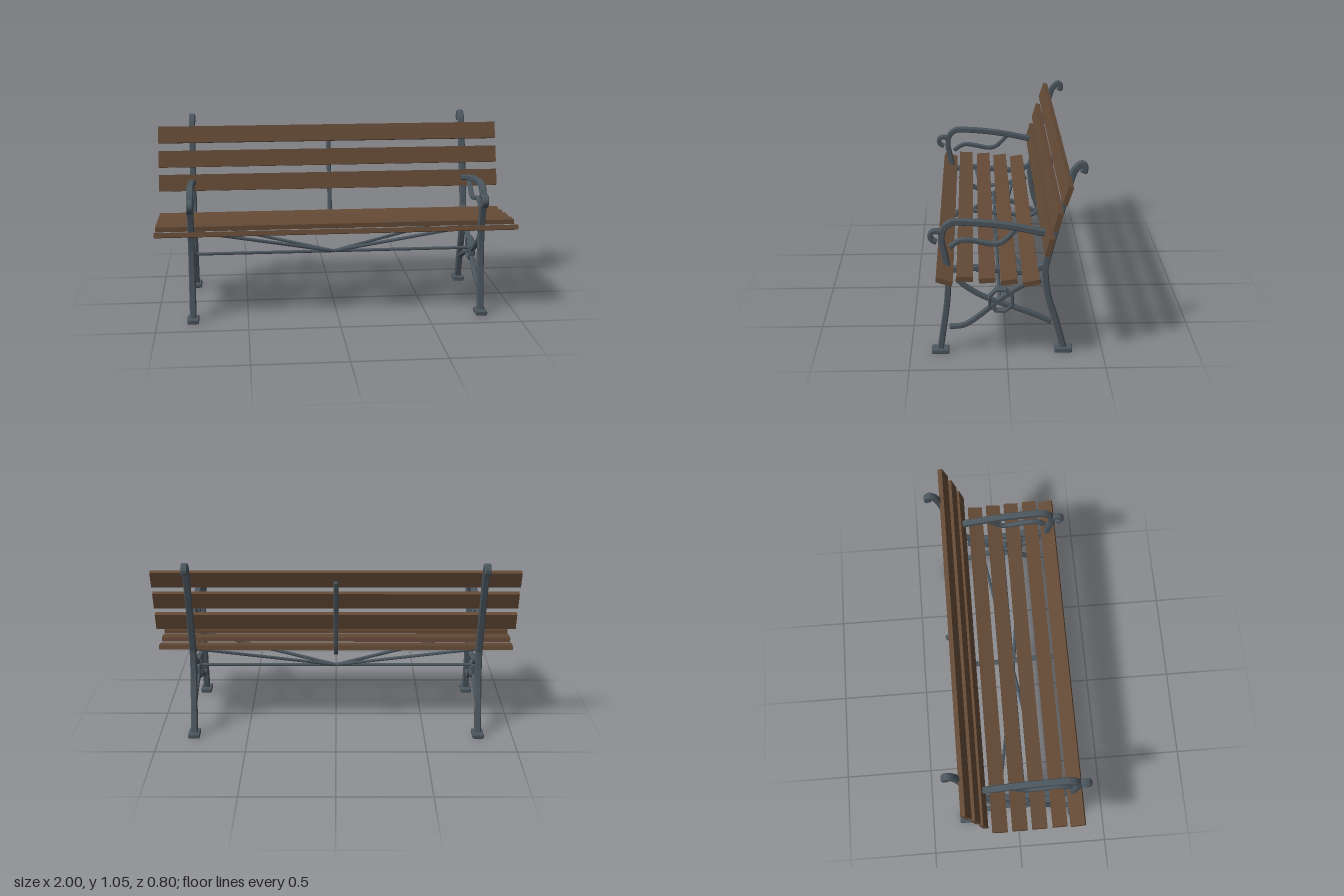
import * as THREE from 'three';
import { RoundedBoxGeometry } from 'three/addons/geometries/RoundedBoxGeometry.js';

const wood = new THREE.MeshStandardMaterial({ color: 0x644a36 });
wood.name = 'brown wood';
const iron = new THREE.MeshStandardMaterial({ color: 0x4b565e });
iron.name = 'grey iron';

function add(parent, name, geometry, material, x = 0, y = 0, z = 0) {
  const mesh = new THREE.Mesh(geometry, material);
  mesh.name = name;
  mesh.position.set(x, y, z);
  parent.add(mesh);
  return mesh;
}

// Extrudes a side outline (z, y) along x, centred on x = 0, with chamfered edges
function extrudeSide(shape, depth) {
  const b = 0.005;
  const g = new THREE.ExtrudeGeometry(shape, {
    depth: depth - 2 * b, bevelEnabled: true, bevelThickness: b,
    bevelSize: b, bevelOffset: -b, bevelSegments: 1,
  });
  g.translate(0, 0, -depth / 2 + b);
  return g.rotateY(-Math.PI / 2);
}

// Bar of even width following a smooth path of [z, y] points
function bar(path, width, depth) {
  const curve = new THREE.SplineCurve(path.map(([z, y]) => new THREE.Vector2(z, y)));
  const n = (path.length - 1) * 3;
  const one = [], two = [];
  for (let i = 0; i <= n; i++) {
    const p = curve.getPoint(i / n), t = curve.getTangent(i / n);
    const side = new THREE.Vector2(-t.y, t.x).multiplyScalar(width / 2);
    one.push(p.clone().add(side));
    two.unshift(p.clone().sub(side));
  }
  return extrudeSide(new THREE.Shape([...one, ...two]), depth);
}

// Straight round rod between two points
function rod(a, b, radius) {
  const dir = b.clone().sub(a);
  const g = new THREE.CylinderGeometry(radius, radius, dir.length(), 8);
  g.applyQuaternion(new THREE.Quaternion().setFromUnitVectors(
    new THREE.Vector3(0, 1, 0), dir.clone().normalize()));
  const mid = a.clone().add(b).multiplyScalar(0.5);
  return g.translate(mid.x, mid.y, mid.z);
}

function octagon(apothem) {
  const pts = [];
  for (let i = 0; i < 8; i++) {
    const a = (i + 0.5) * Math.PI / 4, r = apothem / Math.cos(Math.PI / 8);
    pts.push(new THREE.Vector2(0.03 + r * Math.cos(a), 0.295 + r * Math.sin(a)));
  }
  return pts;
}

// One cast iron end frame
function endFrame() {
  const frame = new THREE.Group();
  const bars = [
    ['frontLegAndArmrest', 0.032, 0.036, [[0.345, 0.02], [0.322, 0.175], [0.304, 0.314], [0.3, 0.45],
      [0.314, 0.55], [0.33, 0.63], [0.319, 0.69], [0.286, 0.723], [0.239, 0.73], [0.1, 0.72],
      [-0.04, 0.7], [-0.205, 0.664]]],
    ['armrestCurl', 0.024, 0.036, [[0.325, 0.668], [0.35, 0.681], [0.376, 0.677], [0.388, 0.657],
      [0.378, 0.635], [0.355, 0.622]]],
    ['backLegAndPost', 0.033, 0.036, [[-0.297, 0.02], [-0.256, 0.175], [-0.214, 0.314], [-0.197, 0.453],
      [-0.206, 0.52], [-0.247, 0.69], [-0.289, 0.84], [-0.323, 0.967], [-0.344, 1.01],
      [-0.371, 1.03], [-0.387, 1.012], [-0.379, 0.985]]],
    ['seatRail', 0.03, 0.034, [[0.3, 0.467], [0.183, 0.48], [0.017, 0.463], [-0.108, 0.455], [-0.197, 0.49]]],
    ['armScroll', 0.024, 0.026, [[0.289, 0.592], [0.253, 0.62], [0.211, 0.633], [0.142, 0.622],
      [0.072, 0.608], [0.017, 0.622], [-0.047, 0.685]]],
    ['fallingBrace', 0.025, 0.026, [[0.256, 0.417], [0.206, 0.372], [0.128, 0.322], [0.044, 0.286],
      [-0.067, 0.244], [-0.164, 0.203], [-0.23, 0.17]]],
    ['risingBrace', 0.025, 0.026, [[0.297, 0.148], [0.244, 0.15], [0.197, 0.167], [0.128, 0.219],
      [0.058, 0.28], [-0.011, 0.333], [-0.094, 0.383], [-0.175, 0.403]]],
  ];
  for (const [name, width, depth, path] of bars) add(frame, name, bar(path, width, depth), iron);

  const ring = new THREE.Shape(octagon(0.067));
  ring.holes.push(new THREE.Path(octagon(0.05)));
  add(frame, 'braceRing', extrudeSide(ring, 0.034), iron);

  for (const [name, z] of [['frontFoot', 0.345], ['backFoot', -0.296]])
    add(frame, name, new RoundedBoxGeometry(0.064, 0.026, 0.092, 1, 0.006), iron, 0, 0.013, z);
  return frame;
}

export function createModel() {
  const bench = new THREE.Group();
  bench.name = 'bench';

  for (const [name, x] of [['leftEndFrame', 0.803], ['rightEndFrame', -0.803]]) {
    const frame = endFrame();
    frame.name = name;
    frame.position.x = x;
    bench.add(frame);
  }

  // Seat slats: z, y, tilt
  const seat = [[0.314, 0.489, -0.3], [0.213, 0.503, -0.04], [0.102, 0.494, 0.06],
    [-0.007, 0.484, 0.12], [-0.117, 0.476, 0.17]];
  for (const [z, y, tilt] of seat)
    add(bench, 'seatSlat', new THREE.BoxGeometry(2, 0.026, 0.083), wood, 0, y, z).rotation.x = tilt;

  // Backrest slats: z, y, tilt
  const back = [[-0.205, 0.663, -0.27], [-0.244, 0.797, -0.28], [-0.289, 0.933, -0.32]];
  for (const [z, y, tilt] of back)
    add(bench, 'backSlat', new THREE.BoxGeometry(2, 0.096, 0.026), wood, 0, y, z).rotation.x = tilt;

  // Bent strap under the seat and behind the backrest
  add(bench, 'centreStrap', bar([[0.27, 0.477], [0.183, 0.483], [0.017, 0.464], [-0.108, 0.455],
    [-0.175, 0.457], [-0.203, 0.49], [-0.22, 0.56], [-0.25, 0.68], [-0.291, 0.82], [-0.325, 0.925]],
  0.02, 0.025), iron);

  // Tie rod and diagonal struts meeting at the middle
  const hub = new THREE.Vector3(0, 0.298, 0.037);
  add(bench, 'tieRod', rod(new THREE.Vector3(-0.803, 0.298, 0.037), new THREE.Vector3(0.803, 0.298, 0.037), 0.009), iron);
  for (const x of [-0.8, 0.8]) {
    add(bench, 'frontStrut', rod(hub, new THREE.Vector3(x, 0.462, 0.15), 0.01), iron);
    add(bench, 'backStrut', rod(hub, new THREE.Vector3(x, 0.455, -0.108), 0.009), iron);
  }
  return bench;
}
